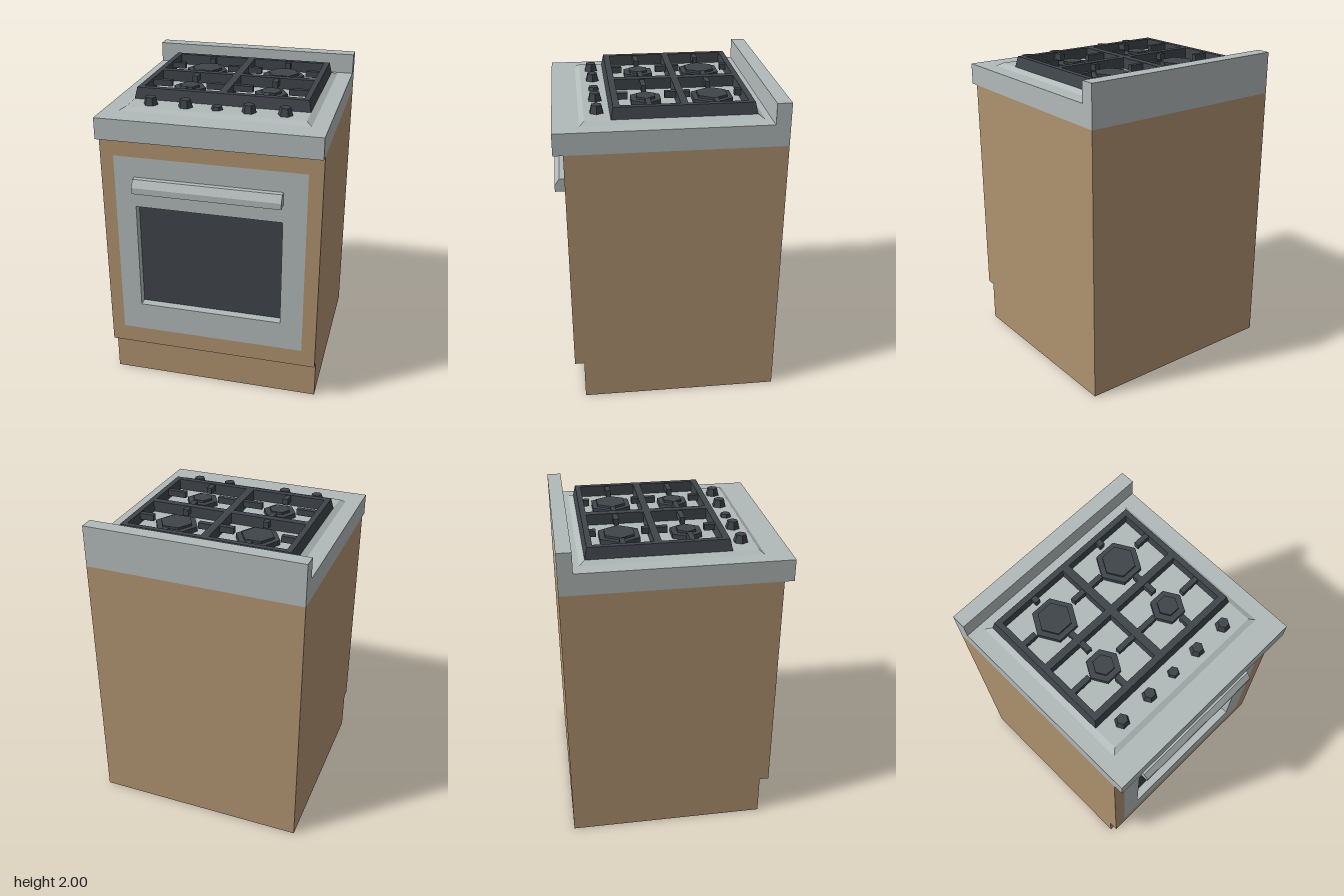
import * as THREE from 'three';

const material = (name, color) => Object.assign(new THREE.MeshStandardMaterial({ color }), { name });

// Box between two corners
function block(x0, x1, y0, y1, z0, z1) {
  const g = new THREE.BoxGeometry(x1 - x0, y1 - y0, z1 - z0);
  return g.translate((x0 + x1) / 2, (y0 + y1) / 2, (z0 + z1) / 2);
}

const corners = (x0, x1, y0, y1) =>
  [[x0, y0], [x1, y0], [x1, y1], [x0, y1]].map(([x, y]) => new THREE.Vector2(x, y));

// Rectangular plate with rectangular openings, extruded along +z
function plate(outer, holes, depth) {
  const shape = new THREE.Shape(corners(...outer));
  holes.forEach(h => shape.holes.push(new THREE.Path(corners(...h))));
  return new THREE.ExtrudeGeometry(shape, { depth, bevelEnabled: false });
}

// Pull every vertex above y into the given rectangle, giving sloped sides
function taperTop(geometry, y, x0, x1, z0, z1) {
  const g = geometry.index ? geometry.toNonIndexed() : geometry;
  const p = g.attributes.position;
  for (let i = 0; i < p.count; i++) {
    if (p.getY(i) < y) continue;
    p.setX(i, THREE.MathUtils.clamp(p.getX(i), x0, x1));
    p.setZ(i, THREE.MathUtils.clamp(p.getZ(i), z0, z1));
  }
  g.computeVertexNormals();
  return g;
}

// Flat-sided hexagonal prism with corners pointing along x
function hexPrism(rTop, rBottom, y0, y1, x, z) {
  const g = new THREE.CylinderGeometry(rTop, rBottom, y1 - y0, 6).toNonIndexed();
  g.computeVertexNormals();
  return g.rotateY(Math.PI / 6).translate(x, (y0 + y1) / 2, z);
}

export function createModel() {
  const model = new THREE.Group();
  model.name = 'cooker';
  const wood = material('wood', 0xb09370);
  const metal = material('metal', 0xb2bab9);
  const dark = material('darkIron', 0x40454a);
  const add = (name, geometry, mat) => {
    const mesh = new THREE.Mesh(geometry, mat);
    mesh.name = name;
    model.add(mesh);
  };

  // Cabinet with set-back plinth and a front frame around the oven door
  const door = [-0.605, 0.6, 0.38, 1.615];
  const pane = [-0.475, 0.455, 0.57, 1.285];
  add('cabinet', block(-0.69, 0.69, 0, 1.735, -0.69, 0.57), wood);
  add('cabinetFront', plate([-0.69, 0.69, 0.265, 1.735], [door], 0.06).translate(0, 0, 0.57), wood);

  // Oven door with recessed window
  add('ovenDoor', plate(door, [pane], 0.06).translate(0, 0, 0.57), metal);
  add('ovenWindow', block(...pane, 0.57, 0.574), dark);

  // Door handle: side profile swept across the door
  const profile = new THREE.Shape([[-0.63, 1.4], [-0.63, 1.485], [-0.665, 1.485], [-0.695, 1.44], [-0.695, 1.4]]
    .map(([z, y]) => new THREE.Vector2(z, y)));
  add('doorHandle', new THREE.ExtrudeGeometry(profile, { depth: 0.93, bevelEnabled: false })
    .rotateY(Math.PI / 2).translate(-0.475, 0, 0), metal);

  // Worktop, upstand and raised hob tray
  add('worktop', block(-0.69, 0.69, 1.735, 1.87, -0.69, 0.69), metal);
  add('upstand', block(-0.69, 0.69, 1.87, 2, -0.69, -0.6), metal);
  add('hobTray', taperTop(block(-0.59, 0.59, 1.87, 1.89, -0.56, 0.53), 1.88, -0.555, 0.555, -0.525, 0.5), metal);

  // Pan support frame with four openings (shape y is -z)
  const openings = [];
  for (const [x0, x1] of [[-0.505, -0.025], [0.025, 0.505]])
    for (const [y0, y1] of [[0.115, 0.475], [-0.29, 0.07]]) openings.push([x0, x1, y0, y1]);
  const frame = plate([-0.555, 0.555, -0.345, 0.525], openings, 0.07)
    .rotateX(-Math.PI / 2).translate(0, 1.89, 0);
  add('panSupport', taperTop(frame, 1.92, -0.54, 0.54, -0.51, 0.33), dark);

  // Burners and the fingers that reach towards them
  const burners = [
    { z: -0.295, r: 0.14, cap: 0.103, reach: 0.15, ends: [[-0.475, -0.436], [-0.158, -0.115]] },
    { z: 0.115, r: 0.105, cap: 0.065, reach: 0.115, ends: [[-0.07, 0], [0.225, 0.29]] },
  ];
  for (const side of [-1, 1]) {
    const x = 0.265 * side;
    for (const b of burners) {
      add('burner', hexPrism(b.r, b.r, 1.89, 1.92, x, b.z), dark);
      add('burnerCap', hexPrism(b.cap, b.cap, 1.92, 1.935, x, b.z), dark);
      for (const [z0, z1] of b.ends)
        add('supportFinger', block(x - 0.0175, x + 0.0175, 1.915, 1.955, z0, z1), dark);
      const left = side < 0 ? -0.505 : 0.025, right = side < 0 ? -0.025 : 0.505;
      add('supportFinger', block(left, x - b.reach, 1.915, 1.955, b.z - 0.016, b.z + 0.016), dark);
      add('supportFinger', block(x + b.reach, right, 1.915, 1.955, b.z - 0.016, b.z + 0.016), dark);
    }
  }

  // Control knobs, the middle one smaller
  for (const x of [-0.42, -0.2, 0.195, 0.415])
    add('knob', hexPrism(0.034, 0.046, 1.89, 1.938, x, 0.422), dark);
  add('smallKnob', hexPrism(0.031, 0.037, 1.89, 1.912, -0.003, 0.422), dark);

  return model;
}
